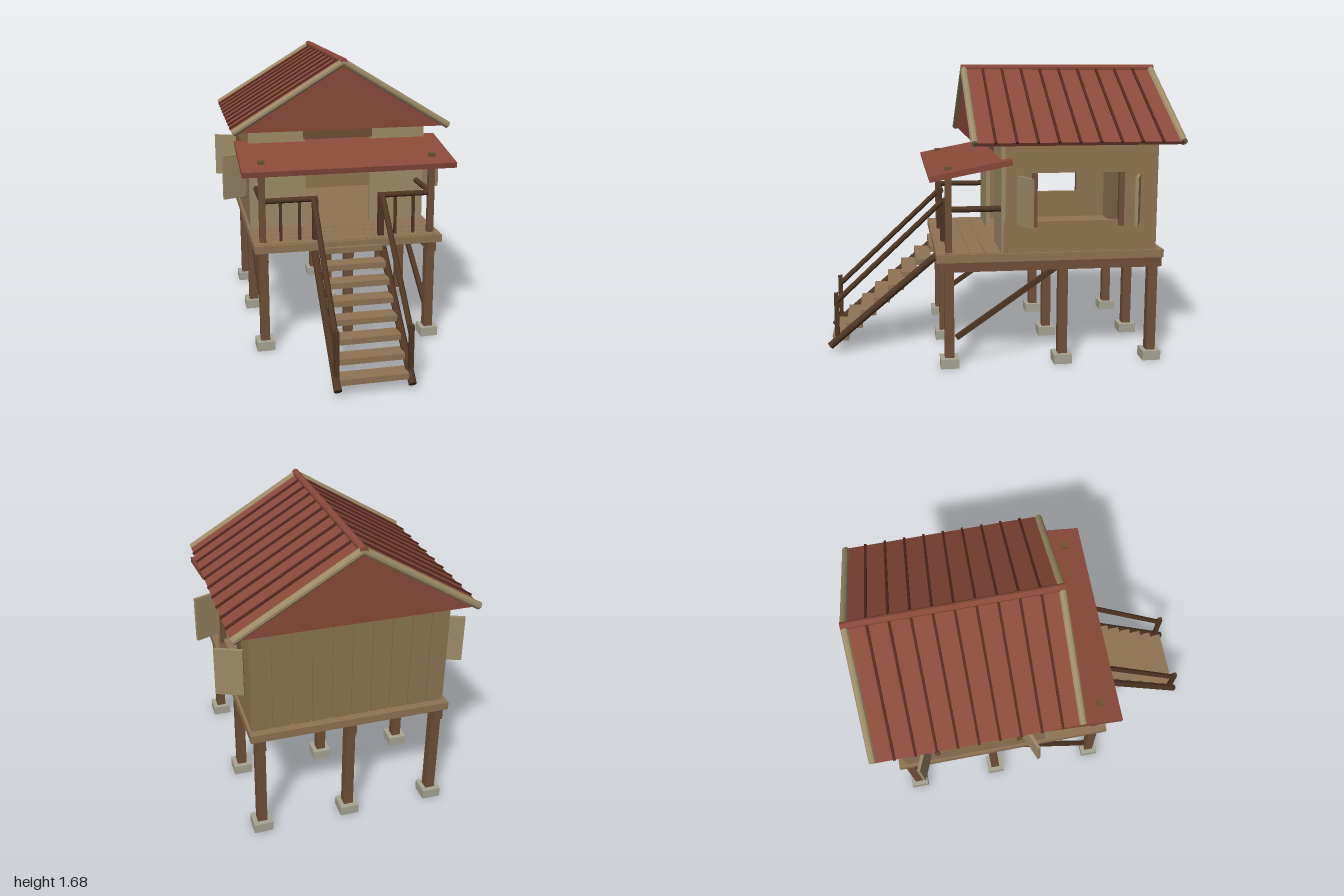
import * as THREE from 'three';

const paint = (color) => new THREE.MeshStandardMaterial({ color, flatShading: true });
const MAT = {
  roof: paint(0x8a4a3a), rib: paint(0x55291f), awning: paint(0x8a4a3a),
  post: paint(0x6f5038), rail: paint(0x4f3623), floor: paint(0x8f7453),
  wall: paint(0x917654), panel: paint(0x9f8c6a), trim: paint(0x9c8b67),
  board: paint(0x8b7652), stone: paint(0xa8a594),
};

export function createModel() {
  const model = new THREE.Group();
  model.name = 'stiltHouse';

  const group = (name) => {
    const g = new THREE.Group();
    g.name = name;
    model.add(g);
    return g;
  };
  const add = (parent, name, geometry, mat) => {
    const m = new THREE.Mesh(geometry, MAT[mat]);
    m.name = name;
    parent.add(m);
    return m;
  };
  // Box given by its extents on each axis
  const block = (parent, name, mat, x0, x1, y0, y1, z0, z1) => {
    const m = add(parent, name, new THREE.BoxGeometry(x1 - x0, y1 - y0, z1 - z0), mat);
    m.position.set((x0 + x1) / 2, (y0 + y1) / 2, (z0 + z1) / 2);
    return m;
  };
  // Square upright centred on x, z
  const upright = (parent, name, mat, x, z, y0, y1, w) =>
    block(parent, name, mat, x - w / 2, x + w / 2, y0, y1, z - w / 2, z + w / 2);
  // Round pole or rectangular beam between two points
  const span = (parent, name, mat, a, b, geometryFor) => {
    const p = new THREE.Vector3(...a), q = new THREE.Vector3(...b);
    const m = add(parent, name, geometryFor(p.distanceTo(q)), mat);
    m.position.copy(p).lerp(q, 0.5);
    m.lookAt(q);
    return m;
  };
  const pole = (parent, name, mat, a, b, r) =>
    span(parent, name, mat, a, b, (l) => new THREE.CylinderGeometry(r, r, l, 10).rotateX(Math.PI / 2));
  const beam = (parent, name, mat, a, b, w, h) =>
    span(parent, name, mat, a, b, (l) => new THREE.BoxGeometry(w, h, l));

  // Stilts on stone footings, with long beams and diagonal braces
  const base = group('stilts');
  for (const x of [-0.5, 0, 0.5]) {
    for (const z of [0.3, -0.345, -0.865]) {
      upright(base, 'footing', 'stone', x, z, 0, 0.055, 0.105);
      upright(base, 'stilt', 'post', x, z, 0.055, 0.56, 0.053);
    }
    block(base, 'floorBeam', 'post', x - 0.025, x + 0.025, 0.55, 0.61, -0.915, 0.355);
  }
  for (const x of [-0.5, 0.5])
    beam(base, 'brace', 'rail', [x, 0.165, 0.26], [x, 0.56, -0.31], 0.028, 0.028);

  // Floor and porch boards
  const floor = group('floor');
  block(floor, 'deck', 'floor', -0.555, 0.555, 0.61, 0.655, -0.915, 0.37);
  for (let i = 0; i < 4; i++)
    block(floor, 'porchBoard', 'floor', -0.54, 0.54, 0.655, 0.659, 0.02 + i * 0.085, 0.1 + i * 0.085);

  // Front wall with an open doorway
  const walls = group('walls');
  for (const s of [-1, 1]) {
    const p = block(walls, 'frontPanel', 'panel', -0.17, 0.17, 0.655, 1.25, -0.015, 0.01);
    p.position.x = s * 0.37;
  }
  block(walls, 'doorLintel', 'post', -0.21, 0.21, 1.19, 1.257, -0.02, 0.017);

  // Back wall of upright boards
  block(walls, 'backWall', 'wall', -0.54, 0.54, 0.655, 1.25, -0.86, -0.84);
  for (let i = 0; i < 10; i++) {
    const x = -0.54 + i * 0.108;
    block(walls, 'backBoard', 'board', x + 0.006, x + 0.102, 0.655, 1.25, -0.873, -0.858);
  }

  // Side walls with a window opening, posts and swung shutters
  for (const s of [-1, 1]) {
    const side = group(s > 0 ? 'leftSide' : 'rightSide');
    const wallPart = (y0, y1, z0, z1) => {
      const m = block(side, 'sideWall', 'wall', -0.0125, 0.0125, y0, y1, z0, z1);
      m.position.x = s * 0.5275;
    };
    wallPart(0.655, 0.83, -0.65, 0);
    wallPart(1.1, 1.25, -0.65, 0);
    wallPart(0.83, 1.1, -0.18, 0);
    wallPart(0.655, 1.25, -0.865, -0.65);
    for (const z of [-0.173, -0.663])
      upright(side, 'windowPost', 'post', s * 0.54, z, 0.8, 1.1, 0.03);
    for (const [z, turn] of [[-0.11, 0.38], [-0.735, -0.38]]) {
      const m = add(side, 'shutter', new THREE.BoxGeometry(0.15, 0.27, 0.018), 'trim');
      m.position.set(s * 0.618, 0.953, z);
      m.rotation.y = turn;
    }
  }

  // Gabled roof: solid core, sloped sheets with ribs, verge poles and ridge
  const roof = group('roof');
  const tri = new THREE.Shape();
  tri.moveTo(-0.61, 1.27);
  tri.lineTo(0.61, 1.27);
  tri.lineTo(0, 1.64);
  const gable = new THREE.ExtrudeGeometry(tri, { depth: 1.14, bevelEnabled: false });
  add(roof, 'gable', gable.translate(0, 0, -0.975), 'roof');
  const slope = Math.atan2(0.39, 0.645);
  for (const s of [-1, 1]) {
    const pitch = new THREE.Group();
    pitch.name = 'roofSlope';
    pitch.position.set(s * 0.3225, 1.46, -0.405);
    pitch.rotation.z = -s * slope;
    roof.add(pitch);
    add(pitch, 'roofSheet', new THREE.BoxGeometry(0.745, 0.02, 1.15), 'roof');
    for (let i = 0; i < 9; i++) {
      const rib = add(pitch, 'roofRib', new THREE.BoxGeometry(0.75, 0.014, 0.014), 'rib');
      rib.position.set(0, 0.012, 0.46 - i * 0.1145);
    }
    for (const z of [0.167, -0.977])
      pole(roof, 'vergePole', 'trim', [0, 1.66, z], [s * 0.64, 1.272, z], 0.021);
  }
  pole(roof, 'ridge', 'roof', [0, 1.664, 0.185], [0, 1.664, -0.995], 0.021);

  // Porch: awning, posts and railings
  const porch = group('porch');
  beam(porch, 'awning', 'awning', [0, 1.17, -0.04], [0, 1.083, 0.408], 1.235, 0.032);
  for (const s of [-1, 1]) {
    upright(porch, 'porchPost', 'post', s * 0.5, 0.3, 0.655, 1.137, 0.036);
    upright(porch, 'newelPost', 'rail', s * 0.195, 0.31, 0.655, 0.9, 0.034);
    for (const x of [0.285, 0.395])
      upright(porch, 'baluster', 'rail', s * x, 0.3, 0.655, 0.89, 0.016);
    pole(porch, 'frontRail', 'rail', [s * 0.18, 0.9, 0.3], [s * 0.51, 0.9, 0.3], 0.017);
    pole(porch, 'sideRail', 'rail', [s * 0.5, 0.9, 0.3], [s * 0.5, 0.9, 0.005], 0.017);
  }

  // Stairs with poles as stringers and handrails
  const stairs = group('stairs');
  for (let i = 0; i < 8; i++) {
    const y = 0.082 + i * 0.075, z = 0.925 - i * 0.083;
    block(stairs, 'step', 'floor', -0.187, 0.187, y - 0.017, y + 0.017, z - 0.047, z + 0.047);
  }
  for (const s of [-1, 1]) {
    const x = s * 0.203;
    pole(stairs, 'stringer', 'rail', [x, 0.042, 0.985], [x, 0.59, 0.335], 0.022);
    pole(stairs, 'handrail', 'rail', [x, 0.31, 0.945], [x, 0.9, 0.315], 0.016);
    upright(stairs, 'handrailPost', 'rail', x, 0.942, 0.105, 0.365, 0.026);
  }

  return model;
}
